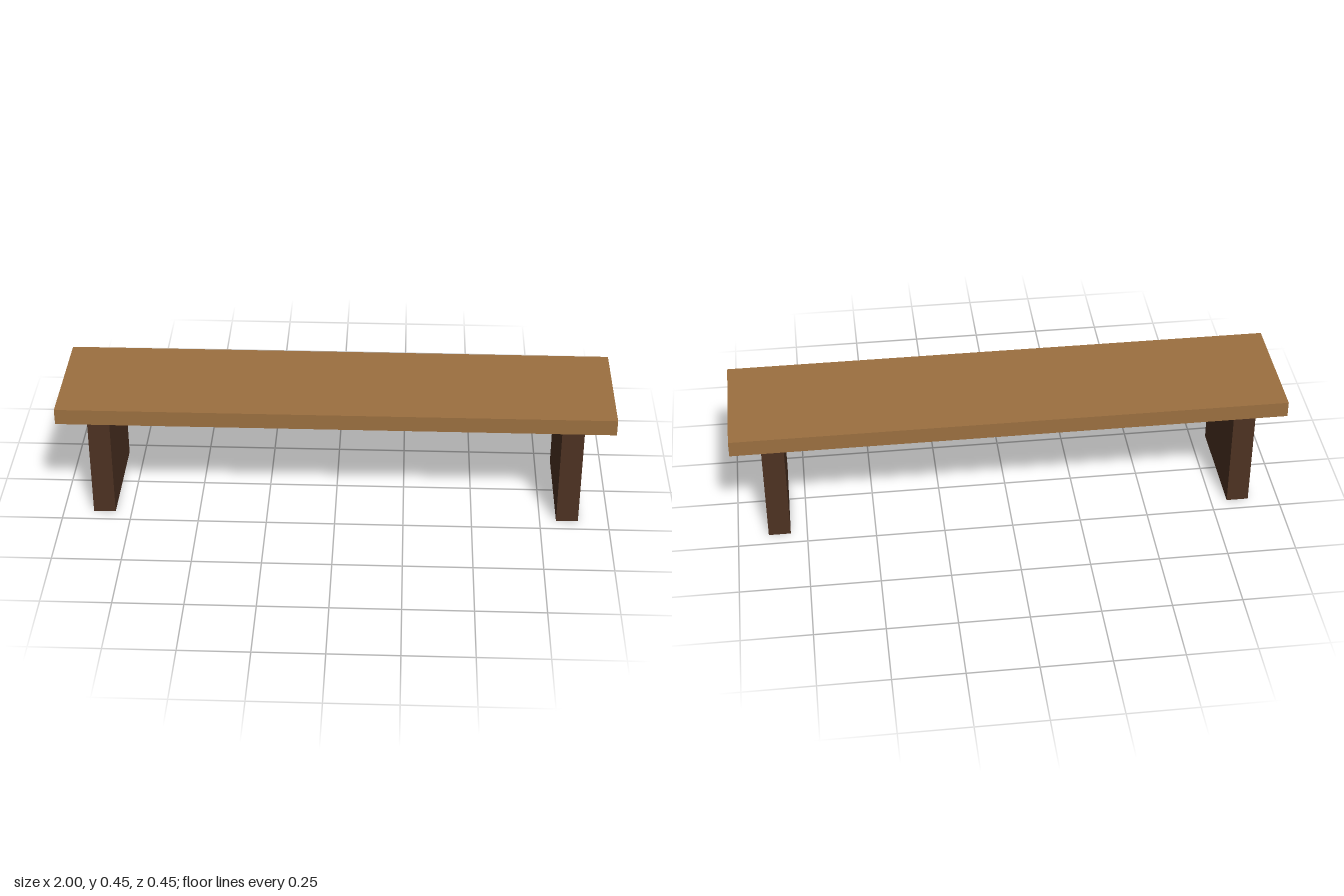
import * as THREE from 'three';

// Box standing on height y, centred on x and z = 0
function addBox(group, name, [w, h, d], x, y, material) {
  const mesh = new THREE.Mesh(new THREE.BoxGeometry(w, h, d), material);
  mesh.name = name;
  mesh.position.set(x, y + h / 2, 0);
  group.add(mesh);
}

export function createModel() {
  const bench = new THREE.Group();
  bench.name = 'bench';
  const lightWood = new THREE.MeshStandardMaterial({ color: 0x9c7040 });
  const darkWood = new THREE.MeshStandardMaterial({ color: 0x4d3222 });
  const legHeight = 0.392;

  // Seat plank
  addBox(bench, 'seat', [2, 0.059, 0.45], 0, legHeight, lightWood);

  // Slab legs, set in from both ends
  for (const [name, side] of [['leftLeg', 1], ['rightLeg', -1]]) {
    addBox(bench, name, [0.08, legHeight, 0.4], side * 0.85, 0, darkWood);
  }
  return bench;
}
